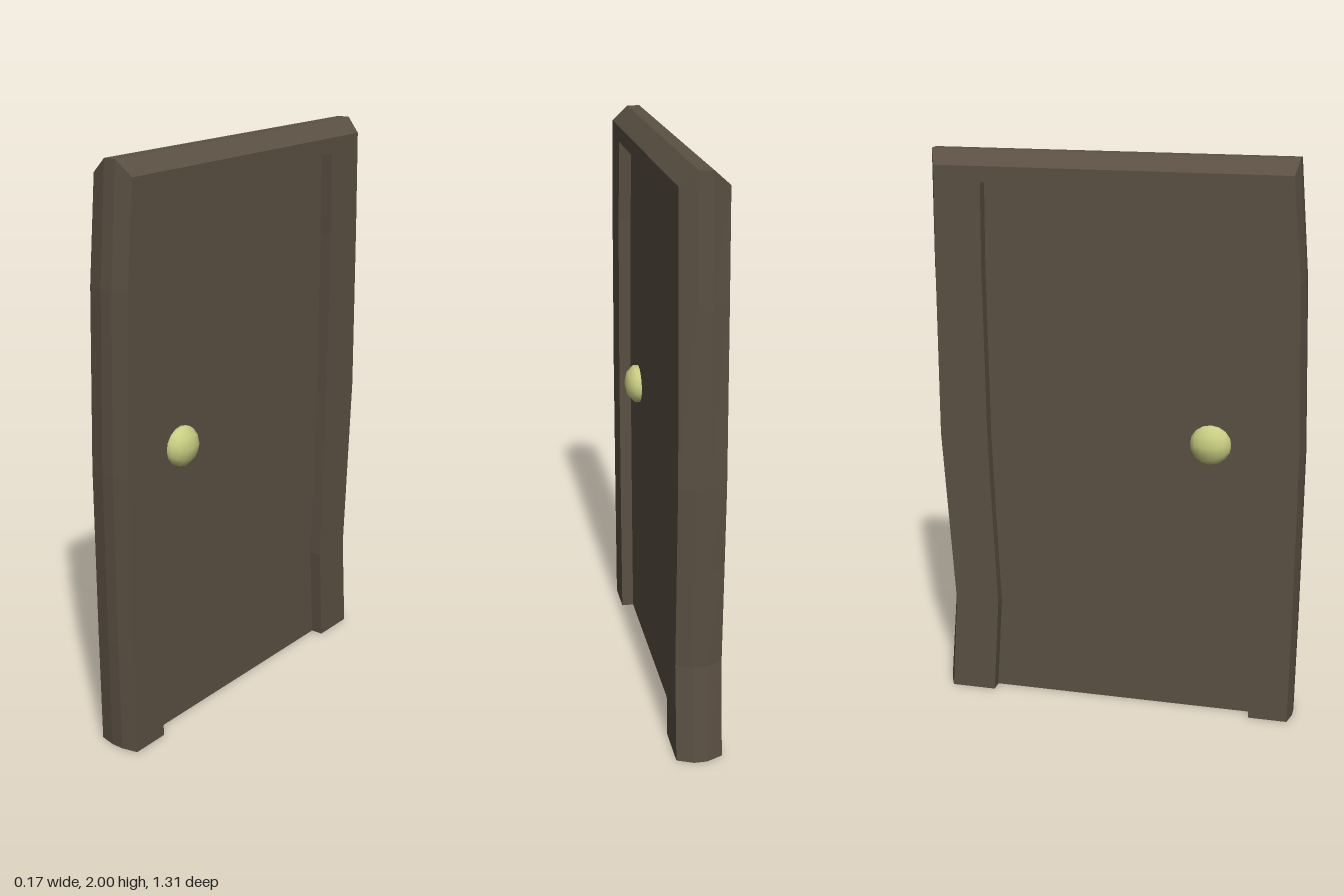
import * as THREE from 'three';

const WOOD = new THREE.MeshStandardMaterial({ color: 0x5b5043 });
WOOD.name = 'dark wood';
WOOD.side = THREE.DoubleSide;
const BRASS = new THREE.MeshStandardMaterial({ color: 0xc9cf82 });
BRASS.name = 'pale brass';

const MID = -0.003;   // centre of the door's thickness
const HALF = 0.0785;  // half thickness of the frame
const RIDGE = 0.0225; // half width of the flat outer ridge
const PANEL = 0.034;  // distance of each panel sheet from the middle

// Stations along the frame: inner [z, y], outer edge [z, y], ridge [z, y]
const post = (rows) => rows.map(([y, inner, edge, ridge]) => [[inner, y], [edge, y], [ridge, y]]);
const STATIONS = [
  ...post([
    [0, 0.497, 0.637, 0.65],
    [0.4, 0.504, 0.642, 0.655],
    [1.0, 0.507, 0.645, 0.658],
    [1.6, 0.485, 0.627, 0.64],
  ]),
  [[0.45, 1.895], [0.595, 1.95], [0.607, 2]],
  [[-0.463, 1.895], [-0.627, 1.95], [-0.65, 2]],
  ...post([
    [1.6, -0.467, -0.633, -0.655],
    [1.0, -0.463, -0.637, -0.65],
    [0.7, -0.453, -0.62, -0.636],
    [0.35, -0.44, -0.6, -0.621],
    [0, -0.463, -0.625, -0.65],
  ]),
];

// Frame: one bevelled section carried up a post, over the top and down again
function frameGeometry() {
  const pos = [], index = [], n = 6;
  for (const [inner, edge, ridge] of STATIONS) {
    const ring = [
      [HALF, inner], [HALF, edge], [RIDGE, ridge],
      [-RIDGE, ridge], [-HALF, edge], [-HALF, inner],
    ];
    for (const [x, [z, y]] of ring) pos.push(MID + x, y, z);
  }
  const last = (STATIONS.length - 1) * n;
  for (let i = 0; i < last; i += n) {
    for (let j = 0; j < n; j++) {
      const k = (j + 1) % n;
      index.push(i + j, i + n + j, i + k, i + k, i + n + j, i + n + k);
    }
  }
  // feet of the posts
  for (let j = 1; j < n - 1; j++) {
    index.push(0, j, j + 1, last, last + j + 1, last + j);
  }
  const g = new THREE.BufferGeometry();
  g.setAttribute('position', new THREE.Float32BufferAttribute(pos, 3));
  g.setIndex(index);
  const flat = g.toNonIndexed();
  flat.computeVertexNormals();
  return flat;
}

export function createModel() {
  const door = new THREE.Group();
  door.name = 'door';
  const add = (name, geometry, material) => {
    const mesh = new THREE.Mesh(geometry, material);
    mesh.name = name;
    door.add(mesh);
    return mesh;
  };

  add('frame', frameGeometry(), WOOD);

  // Recessed panel sheets and a flattened knob on both sides
  const outline = new THREE.Shape(STATIONS.map(([[z, y]]) => new THREE.Vector2(z, y)));
  for (const side of [1, -1]) {
    const label = side > 0 ? 'left' : 'right';
    const sheet = new THREE.ShapeGeometry(outline).rotateY(-Math.PI / 2);
    add(label + 'Panel', sheet, WOOD).position.x = MID + side * PANEL;

    const knob = new THREE.SphereGeometry(0.073, 10, 8).rotateX(Math.PI / 2).scale(0.7, 1, 1);
    add(label + 'Knob', knob, BRASS).position.set(side * 0.033, 1.014, 0.333);
  }
  return door;
}
